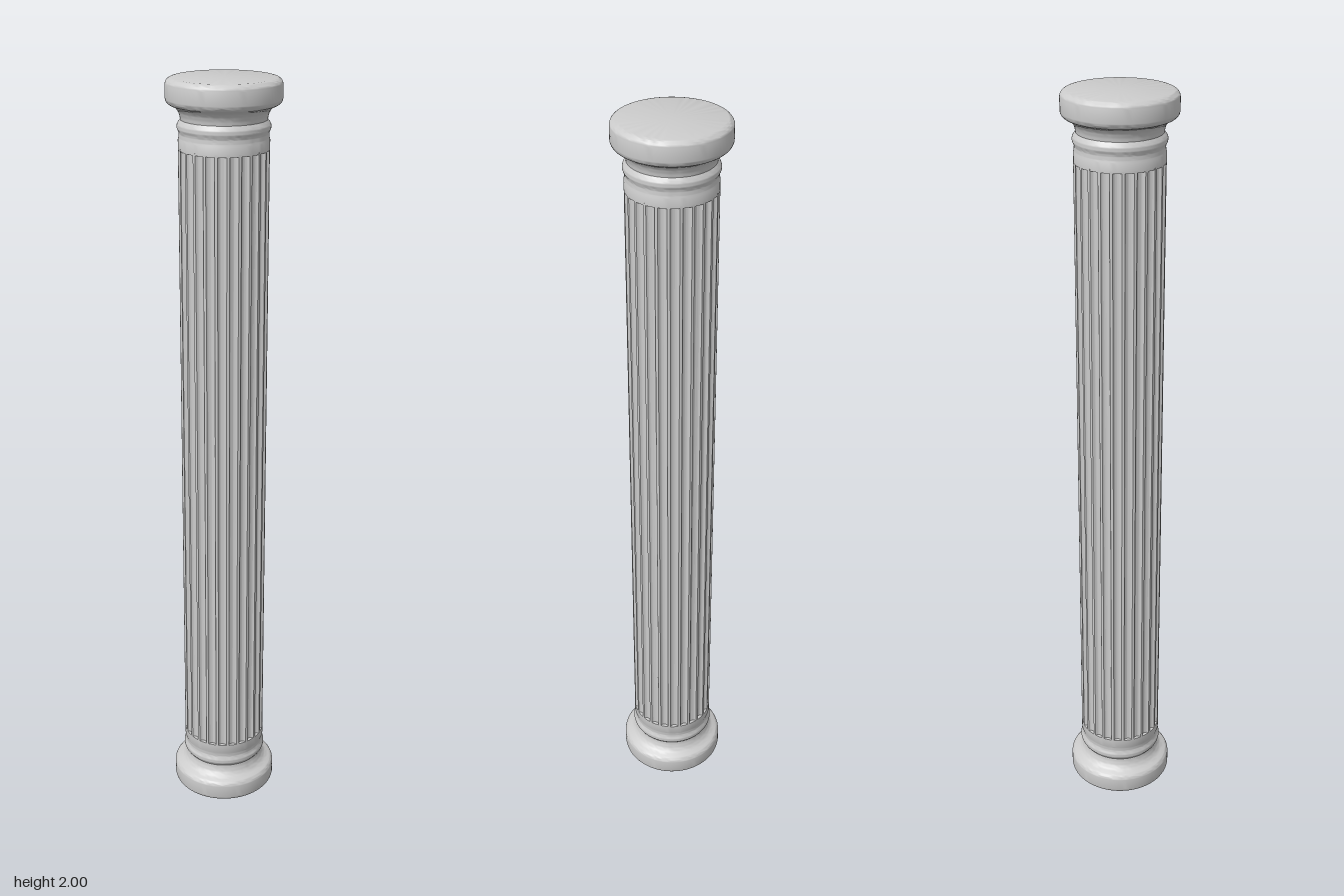
import * as THREE from 'three';
import { toCreasedNormals } from 'three/addons/utils/BufferGeometryUtils.js';

const material = new THREE.MeshStandardMaterial({ color: 0xcccccc });
const FLUTES = 24, RADIUS = 0.112, DEPTH = 0.009;
const SHAFT_BOTTOM = 0.17, SHAFT_TOP = 1.835;

function addMesh(group, name, geometry) {
  const mesh = new THREE.Mesh(geometry, material);
  mesh.name = name;
  group.add(mesh);
  return mesh;
}

// Round section with scooped flutes separated by narrow flat fillets
function flutedShape() {
  const points = [];
  const pitch = (Math.PI * 2) / FLUTES, half = pitch * 0.38, steps = 8;
  for (let i = 0; i < FLUTES; i++) {
    for (let j = 0; j <= steps; j++) {
      const t = (j / steps) * 2 - 1;
      const r = RADIUS - DEPTH * Math.sqrt(1 - t * t);
      const a = i * pitch + t * half;
      points.push(new THREE.Vector2(r * Math.cos(a), r * Math.sin(a)));
    }
  }
  return new THREE.Shape(points);
}

// Turned moulding, from the floor up to the start of the flutes
function mouldingGeometry() {
  const profile = new THREE.Path();
  profile.moveTo(0, 0);
  profile.lineTo(0.125, 0);
  profile.quadraticCurveTo(0.141, 0.002, 0.142, 0.016);
  profile.lineTo(0.142, 0.048);
  profile.quadraticCurveTo(0.141, 0.06, 0.128, 0.064);
  profile.quadraticCurveTo(0.108, 0.072, 0.106, 0.098);
  profile.lineTo(0.109, 0.102);
  profile.quadraticCurveTo(0.12, 0.114, 0.11, 0.127);
  profile.quadraticCurveTo(0.109, 0.138, RADIUS, 0.146);
  profile.lineTo(RADIUS, SHAFT_BOTTOM);
  profile.lineTo(0, SHAFT_BOTTOM);
  return toCreasedNormals(new THREE.LatheGeometry(profile.getPoints(8), 72), 0.6);
}

export function createModel() {
  const column = new THREE.Group();
  column.name = 'column';

  // Fluted shaft
  const shaft = new THREE.ExtrudeGeometry(flutedShape(), {
    depth: SHAFT_TOP - SHAFT_BOTTOM, bevelEnabled: false, steps: 1,
  });
  shaft.rotateX(-Math.PI / 2);
  shaft.translate(0, SHAFT_BOTTOM, 0);
  addMesh(column, 'flutedShaft', toCreasedNormals(shaft, 0.6));

  // Base, and the same moulding turned over as the capital
  const moulding = mouldingGeometry();
  addMesh(column, 'base', moulding);
  const capital = addMesh(column, 'capital', moulding);
  capital.rotation.x = Math.PI;
  capital.position.y = 2;

  return column;
}
